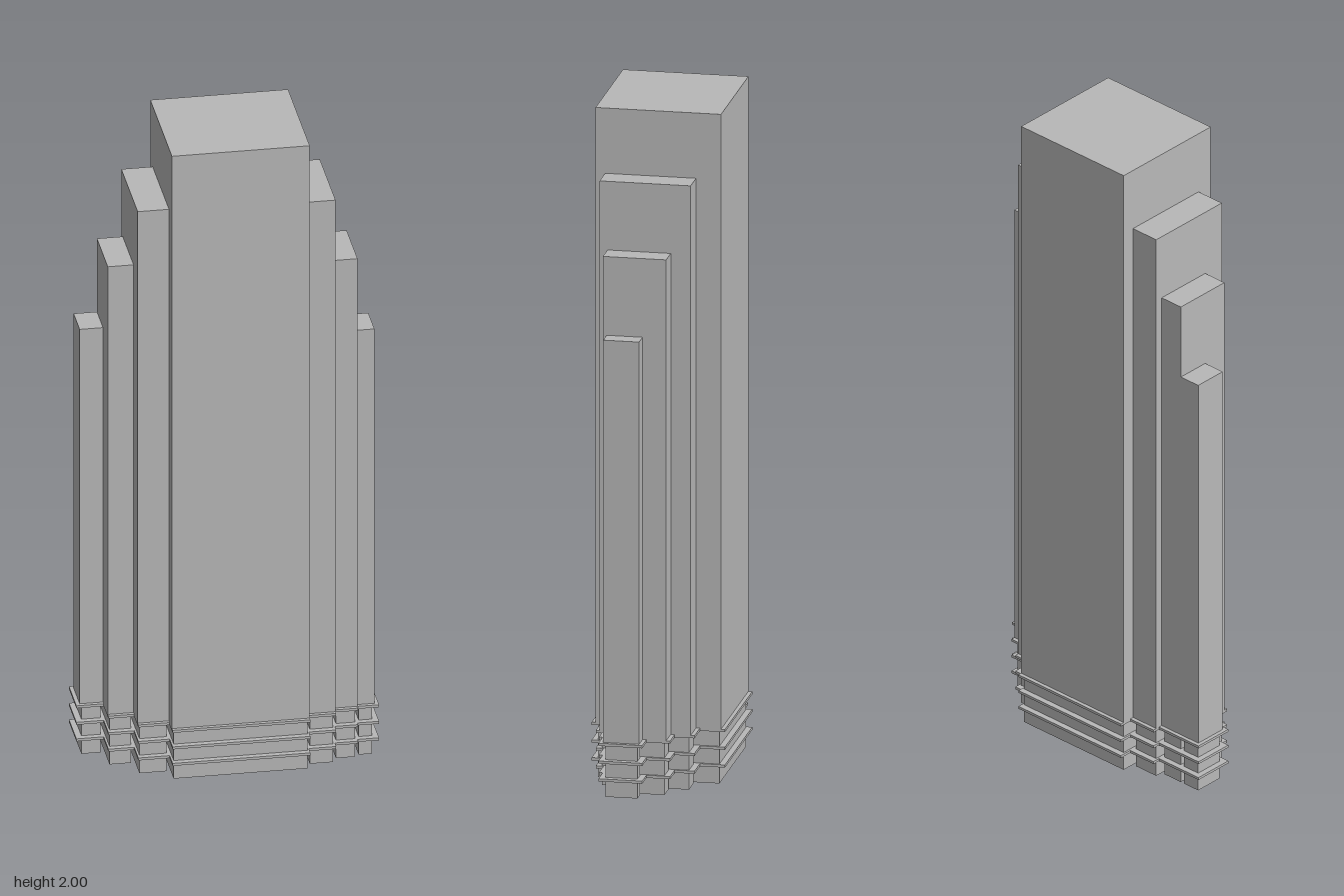
import * as THREE from 'three';

// Slabs of the tower from left end to right end: x range, z range, roof height
const SLABS = [
  { name: 'leftOuter', x: [-0.418, -0.35], z: [-0.123, -0.02], top: 1.365, end: -1 },
  { name: 'leftMiddle', x: [-0.35, -0.275], z: [-0.123, 0.061], top: 1.6 },
  { name: 'leftInner', x: [-0.275, -0.184], z: [-0.146, 0.131], top: 1.805 },
  { name: 'core', x: [-0.184, 0.217], z: [-0.185, 0.182], top: 2 },
  { name: 'rightInner', x: [0.217, 0.297], z: [-0.112, 0.154], top: 1.805 },
  { name: 'rightMiddle', x: [0.297, 0.365], z: [-0.054, 0.131], top: 1.6 },
  { name: 'rightOuter', x: [0.365, 0.416], z: [0.015, 0.12], top: 1.365, end: 1 },
];
const LEDGE_Y = [0.054, 0.107, 0.16]; // centre heights of the ledges
const LEDGE_T = 0.008;
const OVERHANG = 0.0115;
const INSET = 0.006;

export function createModel() {
  const model = new THREE.Group();
  model.name = 'steppedTower';
  const concrete = new THREE.MeshStandardMaterial({ color: 0xb8b8b8, side: THREE.DoubleSide });
  concrete.name = 'concrete grey';

  // Box between corner coordinates; open boxes keep only their four walls
  function block(name, [x0, x1], [y0, y1], [z0, z1], open = false) {
    const geo = new THREE.BoxGeometry(x1 - x0, y1 - y0, z1 - z0);
    if (open) {
      const index = Array.from(geo.index.array);
      index.splice(12, 12); // drop top and bottom faces
      geo.setIndex(index);
      geo.clearGroups();
    }
    geo.translate((x0 + x1) / 2, (y0 + y1) / 2, (z0 + z1) / 2);
    const mesh = new THREE.Mesh(geo, concrete);
    mesh.name = name;
    return mesh;
  }

  const ledgeTop = LEDGE_Y[2] + LEDGE_T / 2;
  for (const { name, x, z, top, end = 0 } of SLABS) {
    const slab = new THREE.Group();
    slab.name = name + 'Slab';

    // Tall shaft above the podium
    slab.add(block(name + 'Shaft', x, [ledgeTop, top], z));

    // Set-back podium walls, hollow and open below
    slab.add(block(name + 'Podium', [x[0] + INSET, x[1] - INSET], [0, LEDGE_Y[2]],
      [z[0] + INSET, z[1] - INSET], true));

    // Thin ledges, overhanging front and back and at the two outer ends
    const lx = [x[0] - (end < 0 ? OVERHANG : 0), x[1] + (end > 0 ? OVERHANG : 0)];
    const lz = [z[0] - OVERHANG, z[1] + OVERHANG];
    LEDGE_Y.forEach((y, i) => {
      slab.add(block(`${name}Ledge${i + 1}`, lx, [y - LEDGE_T / 2, y + LEDGE_T / 2], lz));
    });
    model.add(slab);
  }
  return model;
}
